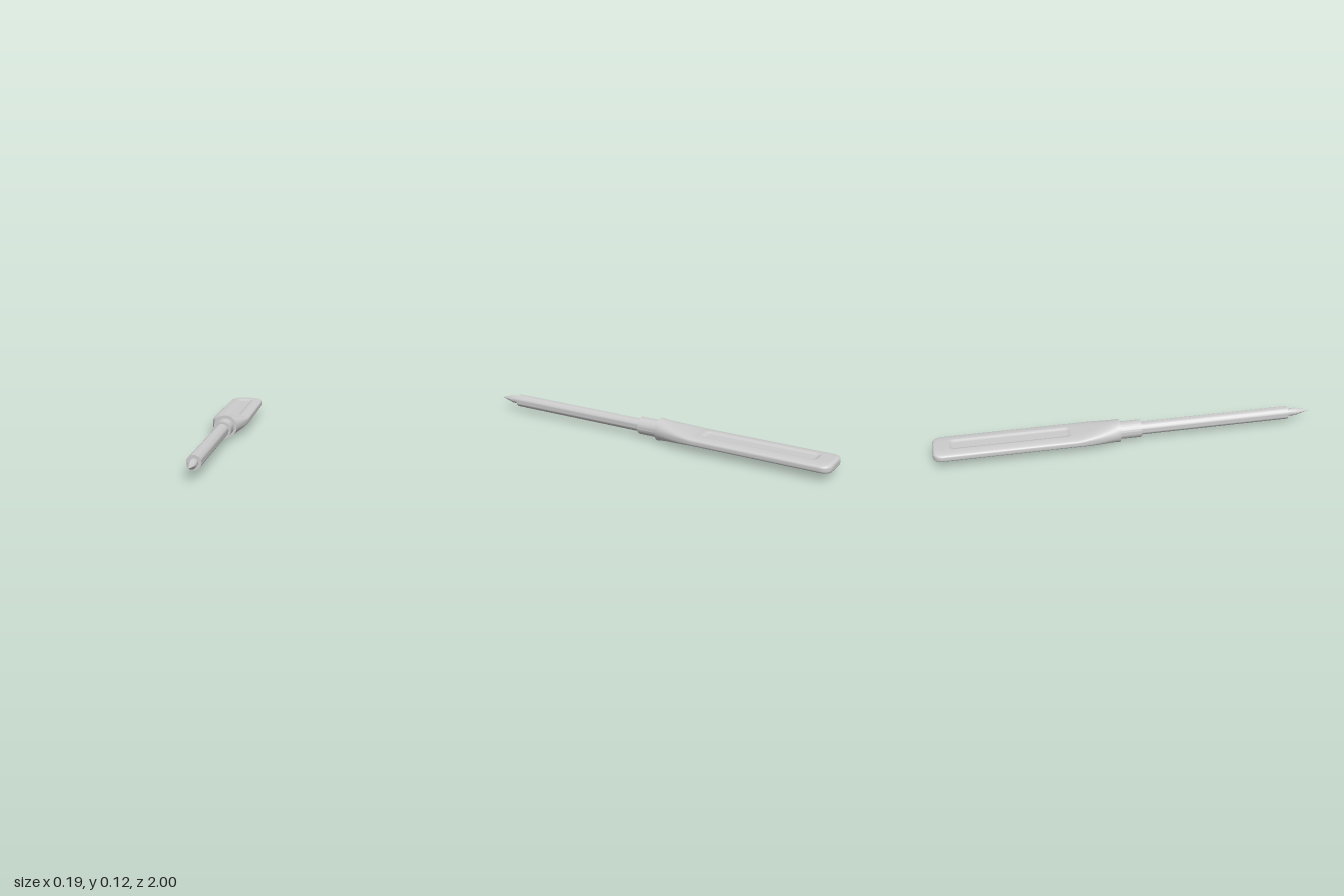
import * as THREE from 'three';
import { toCreasedNormals } from 'three/addons/utils/BufferGeometryUtils.js';

const AXIS_Y = 0.061;
const material = new THREE.MeshStandardMaterial({ color: 0xcccccc });
const { smoothstep, lerp } = THREE.MathUtils;

function part(name, geometry) {
  const mesh = new THREE.Mesh(geometry, material);
  mesh.name = name;
  return mesh;
}

// Turned part along z from [radius, z] pairs
function turned(name, profile) {
  const geo = new THREE.LatheGeometry(profile.map(([r, z]) => new THREE.Vector2(r, z)), 48);
  geo.rotateX(Math.PI / 2);
  return part(name, toCreasedNormals(geo, 0.6));
}

// Depth of the shallow thumb recess on both broad faces
function recessDepth(x, d) {
  const r = 0.025;
  const qx = Math.abs(x) - 0.046 + r;
  const qz = Math.abs(d - 0.605) - 0.31 + r;
  const dist = Math.hypot(Math.max(qx, 0), Math.max(qz, 0)) + Math.min(Math.max(qx, qz), 0) - r;
  return 0.008 * smoothstep(-dist, 0, 0.018);
}

// Flat handle lofted from a round front to a wide rounded slab
function handleGeometry() {
  const segs = 128, distances = [], pos = [], index = [];
  for (let i = 0; i <= 130; i++) distances.push(lerp(0.04, 0.95, i / 130));
  for (let i = 1; i <= 16; i++) distances.push(0.95 + 0.05 * Math.sin((i / 16) * Math.PI / 2));

  for (const d of distances) {
    const t = Math.min((d - 0.04) / 0.23, 1);
    let w = lerp(0.06, 0.097, 1 - Math.pow(1 - t, 1.5));
    let h = lerp(0.06, 0.025, 1 - Math.pow(1 - t, 1.25));
    const n = lerp(2, 3.6, smoothstep(t, 0, 1));
    const e = Math.max(0, d - 0.95), k = Math.max(0, d - 0.98);
    w -= 0.05 - Math.sqrt(Math.max(0, 0.0025 - e * e));
    h -= 0.85 * (0.02 - Math.sqrt(Math.max(0, 0.0004 - k * k)));
    for (let j = 0; j < segs; j++) {
      const a = (j / segs) * Math.PI * 2, c = Math.cos(a), s = Math.sin(a);
      const f = Math.pow(Math.abs(c) ** n + Math.abs(s) ** n, -1 / n);
      const x = w * c * f;
      let y = h * s * f;
      if (Math.abs(s) > 0.3) y -= Math.sign(s) * recessDepth(x, d);
      pos.push(x, y, -d);
    }
  }
  for (let i = 0; i < distances.length - 1; i++) {
    for (let j = 0; j < segs; j++) {
      const a = i * segs + j, b = i * segs + (j + 1) % segs;
      index.push(a, a + segs, b, b, a + segs, b + segs);
    }
  }
  // Butt end
  const last = (distances.length - 1) * segs, centre = pos.length / 3;
  pos.push(0, 0, -1);
  for (let j = 0; j < segs; j++) index.push(last + j, centre, last + (j + 1) % segs);

  const geo = new THREE.BufferGeometry();
  geo.setAttribute('position', new THREE.Float32BufferAttribute(pos, 3));
  geo.setIndex(index);
  geo.computeVertexNormals();
  return geo;
}

// Pointed bit, with four shallow flutes deepening towards the point
function bitGeometry() {
  const profile = [[0.019, 0.87], [0.021, 0.92], [0.0175, 0.938], [0.012, 0.96], [0.006, 0.98], [0, 1]];
  const geo = new THREE.LatheGeometry(profile.map(([r, z]) => new THREE.Vector2(r, z)), 32);
  const p = geo.attributes.position;
  for (let i = 0; i < p.count; i++) {
    const angle = Math.atan2(p.getZ(i), p.getX(i));
    const k = 1 - 0.22 * smoothstep(p.getY(i), 0.9, 0.96) * Math.sin(2 * angle) ** 2;
    p.setX(i, p.getX(i) * k);
    p.setZ(i, p.getZ(i) * k);
  }
  geo.rotateX(Math.PI / 2);
  return toCreasedNormals(geo, 0.5);
}

export function createModel() {
  const model = new THREE.Group();
  model.name = 'screwdriver';

  const handle = new THREE.Group();
  handle.name = 'handle';
  const face = part('handleFrontFace', new THREE.CircleGeometry(0.06, 128));
  face.position.z = -0.04;
  handle.add(part('handleGrip', handleGeometry()), face);

  model.add(
    handle,
    turned('collar', [[0.046, -0.05], [0.046, 0.072], [0, 0.072]]),
    turned('shaft', [[0.034, 0.06], [0.034, 0.876], [0, 0.876]]),
    part('bit', bitGeometry())
  );
  for (const child of model.children) child.position.y = AXIS_Y;
  return model;
}
